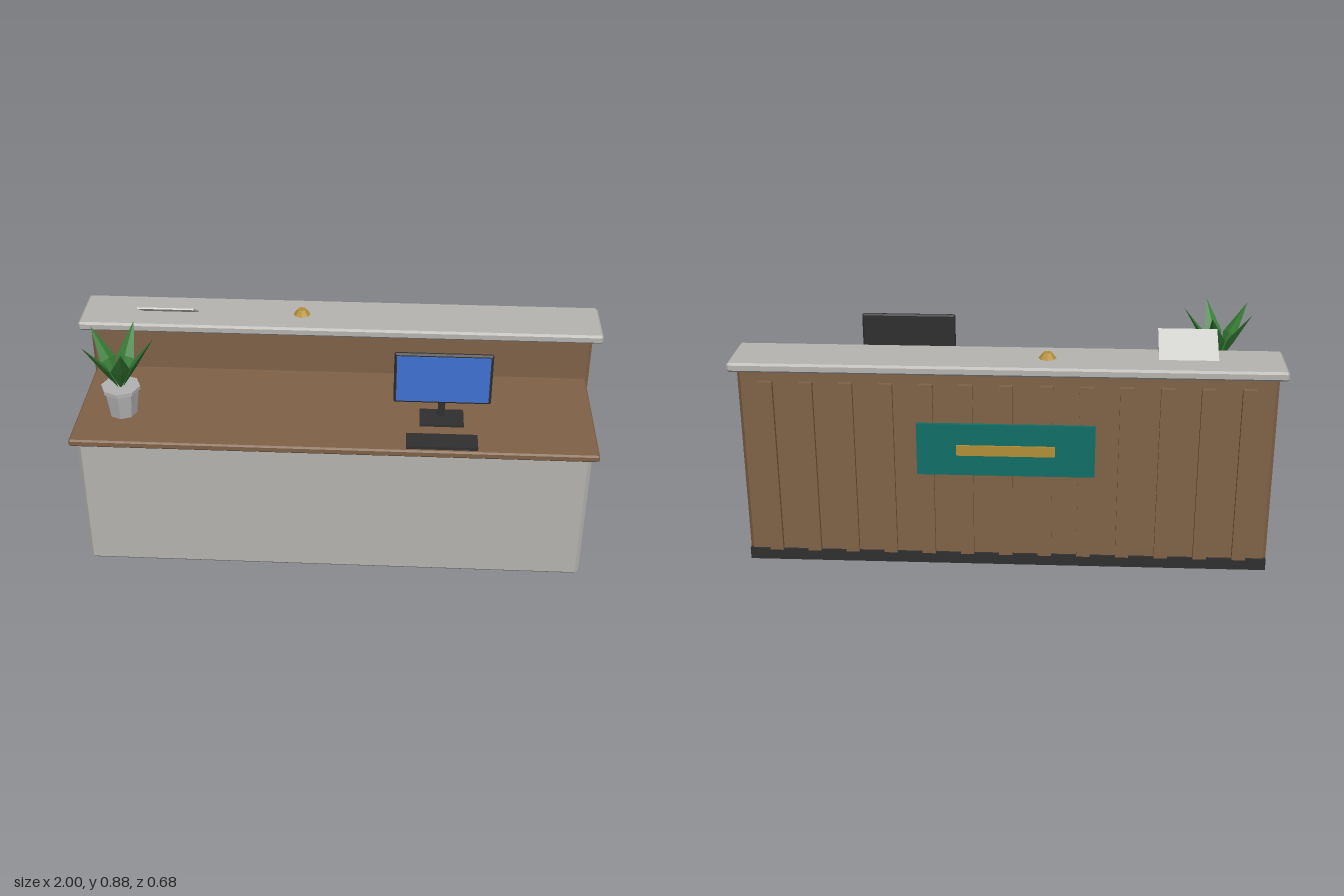
import * as THREE from 'three';
import { ConvexGeometry } from 'three/addons/geometries/ConvexGeometry.js';

const paint = (name, color, extra = {}) => {
  const m = new THREE.MeshStandardMaterial({ color, ...extra });
  m.name = name;
  return m;
};

// Box between two corners with all edges cut at 45 degrees
function chamferBox(w, h, d, c) {
  const points = [];
  for (const x of [-1, 1]) for (const y of [-1, 1]) for (const z of [-1, 1]) {
    const [a, b, e] = [x * w / 2, y * h / 2, z * d / 2];
    points.push(
      new THREE.Vector3(a, b - y * c, e - z * c),
      new THREE.Vector3(a - x * c, b, e - z * c),
      new THREE.Vector3(a - x * c, b - y * c, e));
  }
  return new ConvexGeometry(points);
}

// Pointed leaf: root, a four-point ring at the widest part, and tip
function leafGeometry() {
  const root = [0.005, 0, 0], tip = [0.137, 0.215, 0];
  const ring = [[0.055, 0.105, 0.036], [0.064, 0.09, 0], [0.055, 0.105, -0.036], [0.05, 0.112, 0]];
  const pos = [];
  ring.forEach((p, i) => {
    const q = ring[(i + 1) % 4];
    pos.push(...root, ...q, ...p, ...tip, ...p, ...q);
  });
  const g = new THREE.BufferGeometry();
  g.setAttribute('position', new THREE.Float32BufferAttribute(pos, 3));
  g.computeVertexNormals();
  return g;
}

export function createModel() {
  const model = new THREE.Group();
  model.name = 'receptionDesk';

  const wood = paint('wood', 0x7f6247);
  const stone = paint('stone', 0xb6b4b0);
  const dark = paint('darkPlastic', 0x2f2f30);
  const blue = paint('screenBlue', 0x3f72d2);
  const teal = paint('teal', 0x0f6e66);
  const gold = paint('gold', 0xb38f38);
  const green = paint('leafGreen', 0x357a35, { flatShading: true, side: THREE.DoubleSide });
  const ceramic = paint('ceramic', 0xb2b2b2, { flatShading: true });
  const paper = paint('paper', 0xcfcfcc);
  const brass = gold.clone();
  brass.flatShading = true;

  const add = (name, geometry, material, x = 0, y = 0, z = 0, parent = model) => {
    const mesh = new THREE.Mesh(geometry, material);
    mesh.name = name;
    mesh.position.set(x, y, z);
    parent.add(mesh);
    return mesh;
  };
  // Box from its min and max corners, optionally chamfered
  const block = (name, material, [x0, x1], [y0, y1], [z0, z1], c = 0, parent = model) => {
    const size = [x1 - x0, y1 - y0, z1 - z0];
    const g = c ? chamferBox(...size, c) : new THREE.BoxGeometry(...size);
    return add(name, g, material, (x0 + x1) / 2, (y0 + y1) / 2, (z0 + z1) / 2, parent);
  };

  // Desk and tall wall behind it
  block('deskBody', stone, [-0.94, 0.94], [0, 0.545], [-0.188, 0.321], 0.015);
  block('deskTop', wood, [-0.963, 0.963], [0.538, 0.566], [-0.2, 0.341], 0.006);
  block('wall', wood, [-0.975, 0.975], [0.001, 0.78], [-0.296, -0.195], 0.013);
  block('plinth', dark, [-0.974, 0.974], [0, 0.045], [-0.304, -0.188]);
  block('counterTop', stone, [-1, 1], [0.77, 0.805], [-0.34, -0.108], 0.008);

  // Vertical slats on the visitor side
  const slats = new THREE.Group();
  slats.name = 'slats';
  model.add(slats);
  for (let i = -6; i <= 6; i++) {
    const x = i * 0.145;
    block('slat', wood, [x - 0.025, x + 0.025], [0.045, 0.725], [-0.315, -0.29], 0, slats);
  }

  // Sign plate with a bar
  block('signPlate', teal, [-0.325, 0.325], [0.38, 0.58], [-0.328, -0.314]);
  block('signBar', gold, [-0.18, 0.18], [0.46, 0.5], [-0.334, -0.327]);

  // Monitor and keyboard
  const monitor = new THREE.Group();
  monitor.name = 'monitor';
  model.add(monitor);
  block('monitorCase', dark, [0.216, 0.576], [0.64, 0.848], [0.115, 0.134], 0.006, monitor);
  block('screen', blue, [0.226, 0.566], [0.65, 0.838], [0.132, 0.137], 0, monitor);
  block('monitorNeck', dark, [0.383, 0.409], [0.57, 0.66], [0.101, 0.117], 0, monitor);
  block('monitorFoot', dark, [0.316, 0.479], [0.565, 0.575], [0.07, 0.178], 0, monitor);
  block('keyboard', dark, [0.267, 0.527], [0.565, 0.577], [0.24, 0.328]);

  // Counter bell and tilted leaflet
  add('bell', new THREE.CylinderGeometry(0.016, 0.034, 0.022, 8), brass, -0.147, 0.815, -0.225);
  const leaflet = add('leaflet', new THREE.BoxGeometry(0.215, 0.006, 0.152), paper, -0.655, 0.84, -0.165);
  leaflet.rotation.x = -0.55;

  // Potted plant
  const plant = new THREE.Group();
  plant.name = 'plant';
  plant.position.set(-0.797, 0.566, 0.137);
  model.add(plant);
  add('pot', new THREE.CylinderGeometry(0.067, 0.053, 0.105, 8), ceramic, 0, 0.0525, 0, plant);
  add('potRim', new THREE.CylinderGeometry(0.073, 0.073, 0.015, 8), ceramic, 0, 0.109, 0, plant);
  const leaf = leafGeometry();
  for (let i = 0; i < 5; i++) {
    add('leaf', leaf, green, 0, 0.104, 0, plant).rotation.y = i * Math.PI * 2 / 5;
  }
  return model;
}
